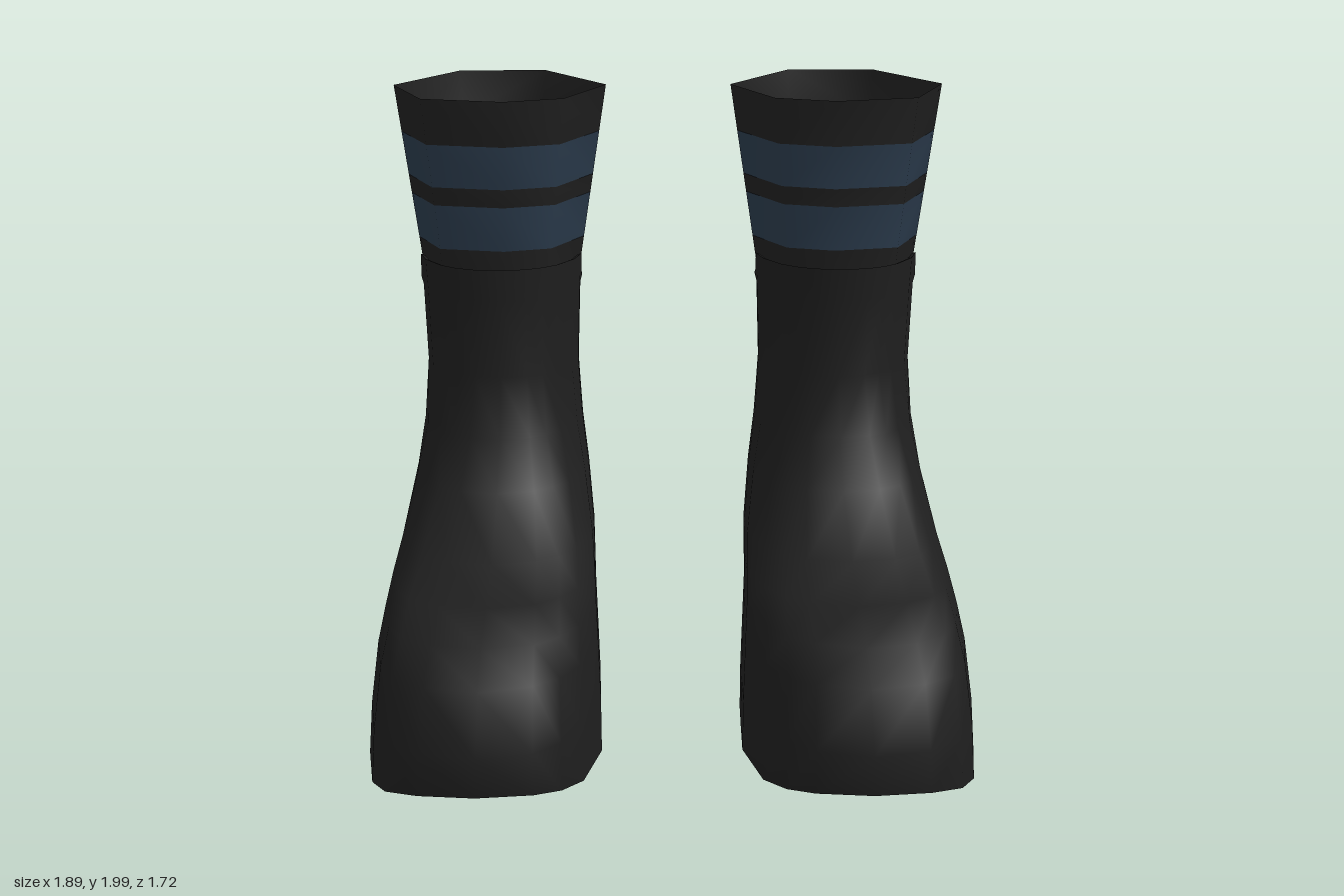
import * as THREE from 'three';
import { mergeVertices } from 'three/addons/utils/BufferGeometryUtils.js';

const lerp = THREE.MathUtils.lerp;

// Piecewise linear lookup in [key, value] pairs with rising keys
function lookup(table, k) {
  if (k <= table[0][0]) return table[0][1];
  for (let i = 1; i < table.length; i++) {
    const [k0, v0] = table[i - 1], [k1, v1] = table[i];
    if (k <= k1) return lerp(v0, v1, (k - k0) / (k1 - k0));
  }
  return table[table.length - 1][1];
}

function fromPoints(points, index) {
  const g = new THREE.BufferGeometry();
  g.setAttribute('position', new THREE.Float32BufferAttribute(points.flat(), 3));
  g.setIndex(index);
  g.computeVertexNormals();
  return g;
}

// Skin over closed rings of equal length, listed from the bottom up
function loft(rings) {
  const n = rings[0].length, index = [];
  for (let r = 0; r < rings.length - 1; r++) {
    for (let i = 0; i < n; i++) {
      const a = r * n + i, b = r * n + (i + 1) % n;
      index.push(a, b, b + n, a, b + n, a + n);
    }
  }
  return fromPoints(rings.flat(), index);
}

// Foot outline: position from heel to toe, then inner and outer edge across the width
const outline = [
  [0.04, 0.15, 0.68], [0.13, 0.12, 0.71], [0.21, 0.1, 0.785], [0.33, 0.055, 0.89],
  [0.355, 0.045, 0.905], [0.385, 0.04, 0.92], [0.44, 0.02, 0.945], [0.5, 0.005, 0.965],
  [0.54, 0.005, 0.97], [0.56, 0.004, 0.975], [0.7, 0, 1], [0.85, 0.075, 0.965],
  [0.92, 0.165, 0.9], [0.97, 0.28, 0.76],
];

// Boot levels: y, front z, back z, inner x, outer x, roundness (0 foot, 1 shaft)
const levels = [
  [0.02, 0.84, -0.8, 0.22, 0.945, 0],
  [0.18, 0.86, -0.855, 0.222, 0.935, 0],
  [0.36, 0.78, -0.85, 0.23, 0.915, 0],
  [0.46, 0.68, -0.81, 0.235, 0.895, 0.04],
  [0.53, 0.5, -0.815, 0.238, 0.88, 0.1],
  [0.6, 0.27, -0.82, 0.242, 0.862, 0.22],
  [0.77, 0.06, -0.795, 0.26, 0.826, 0.5],
  [0.92, -0.03, -0.76, 0.28, 0.798, 0.8],
  [1.11, -0.085, -0.69, 0.293, 0.782, 1],
  [1.36, -0.075, -0.683, 0.286, 0.793, 1],
  [1.46, -0.07, -0.68, 0.28, 0.8, 1],
];

// Underside height along z, with the arch in front of the heel
const underside = [
  [-0.8, 0.02], [-0.45, 0.005], [-0.26, 0.025], [-0.2, 0.055], [-0.1, 0.068],
  [0, 0.05], [0.05, 0.02], [0.64, 0.008], [0.84, 0.05],
];

// Extra arch height on the outer edge
const outerArch = [[-0.24, 0], [-0.13, 0.037], [-0.02, 0]];

function bootRing([y, front, back, inner, outer, round]) {
  const point = (s, p, q) => [lerp(inner, outer, lerp(p, q, round)), y, lerp(back, front, s)];
  const arc = (s) => Math.sqrt(s * (1 - s));
  return [
    point(0, 0.41, 0.5),
    ...outline.map(([s, p]) => point(s, p, 0.5 - arc(s))),
    point(1, 0.52, 0.5),
    ...[...outline].reverse().map(([s, , p]) => point(s, p, 0.5 + arc(s))),
  ];
}

// Bottom face spanned between matching inner and outer edge points
function soleGeometry(ring) {
  const n = ring.length, index = [];
  for (let i = 0; i < n / 2; i++) {
    const j = n - i;
    if (i > 0) index.push(i, j, j - 1);
    if (j - 1 !== i + 1) index.push(i, j - 1, i + 1);
  }
  return fromPoints(ring, index);
}

// Seven-sided sock opening
const sockOutline = [
  [0.68, -0.7], [0.4, -0.705], [0.2, -0.42], [0.33, -0.16],
  [0.52, -0.095], [0.78, -0.157], [0.88, -0.42],
];
function sockRing(y, shrink = 1) {
  const t = (y - 1.45) / 0.55;
  const k = lerp(0.76, 1, t) * shrink, cz = lerp(-0.395, -0.41, t);
  return sockOutline.map(([x, z]) => {
    const pz = cz + (z + 0.41) * k;
    return [0.54 + (x - 0.54) * k, y - 0.01 * t * (pz + 0.7) / 0.6, pz];
  });
}

// Strap loop profile seen from the side
function tabGeometry() {
  const path = (pts) => pts.map(([z, y]) => new THREE.Vector2(z, y));
  const shape = new THREE.Shape(path([
    [0.67, 1.2], [0.69, 1.24], [0.757, 1.44], [0.737, 1.485], [0.703, 1.46], [0.67, 1.36],
  ]));
  shape.holes.push(new THREE.Path(path([
    [0.685, 1.27], [0.685, 1.37], [0.713, 1.45], [0.732, 1.465], [0.742, 1.44],
  ])));
  const g = new THREE.ExtrudeGeometry(shape, { depth: 0.11, bevelEnabled: false });
  g.rotateY(Math.PI / 2);
  g.translate(0.45, 0, 0);
  return g;
}

// Flip to the other side in x and restore the corner order
function mirror(geometry) {
  const g = geometry.index ? geometry.clone() : mergeVertices(geometry);
  g.scale(-1, 1, 1);
  const a = g.index.array;
  for (let i = 0; i < a.length; i += 3) [a[i], a[i + 1]] = [a[i + 1], a[i]];
  return g;
}

export function createModel() {
  const material = (name, color, extra = {}) =>
    new THREE.MeshStandardMaterial({ name, color, ...extra });
  const leather = material('blackLeather', 0x1e1e1e);
  const knit = material('blackKnit', 0x1f1f1f, { side: THREE.DoubleSide });
  const blue = material('blueStripe', 0x2a3a4b, { side: THREE.DoubleSide });

  const parts = [];

  // Boot upper, with the underside and the stepped top edge
  const rings = levels.map(bootRing);
  rings[0].forEach((p, i) => {
    const isOuter = i > outline.length + 1;
    p[1] = lookup(underside, p[2]) + (isOuter ? lookup(outerArch, p[2]) : 0);
  });
  const top = rings[rings.length - 1];
  for (const p of top) p[1] = p[2] > -0.345 ? 1.46 : 1.385;
  parts.push(['bootUpper', loft(rings), leather]);
  parts.push(['sole', soleGeometry(rings[0]), leather]);

  // Collar edge turning in towards the sock
  const turnIn = (k, dy) => top.map(([x, y, z]) => [0.54 + (x - 0.54) * k, y - dy, -0.38 + (z + 0.38) * k]);
  parts.push(['bootCollar', loft([top, turnIn(0.95, 0.005), turnIn(0.8, 0.06)]), leather]);
  parts.push(['pullTab', tabGeometry(), leather]);

  // Sock in alternating bands, hollow at the top
  const edges = [1.32, 1.505, 1.65, 1.71, 1.85, 2];
  for (let i = 0; i < edges.length - 1; i++) {
    const band = loft([sockRing(edges[i]), sockRing(edges[i + 1])]);
    parts.push([i % 2 ? 'sockStripe' : 'sockBand', band, i % 2 ? blue : knit]);
  }
  parts.push(['sockFloor', loft([sockRing(1.34), sockRing(1.34, 0.001)]), knit]);

  const model = new THREE.Group();
  model.name = 'bootsAndSocks';
  for (const side of ['left', 'right']) {
    const boot = new THREE.Group();
    boot.name = side + 'Boot';
    for (const [name, geometry, mat] of parts) {
      const mesh = new THREE.Mesh(side === 'left' ? geometry : mirror(geometry), mat);
      mesh.name = name;
      boot.add(mesh);
    }
    model.add(boot);
  }
  return model;
}
